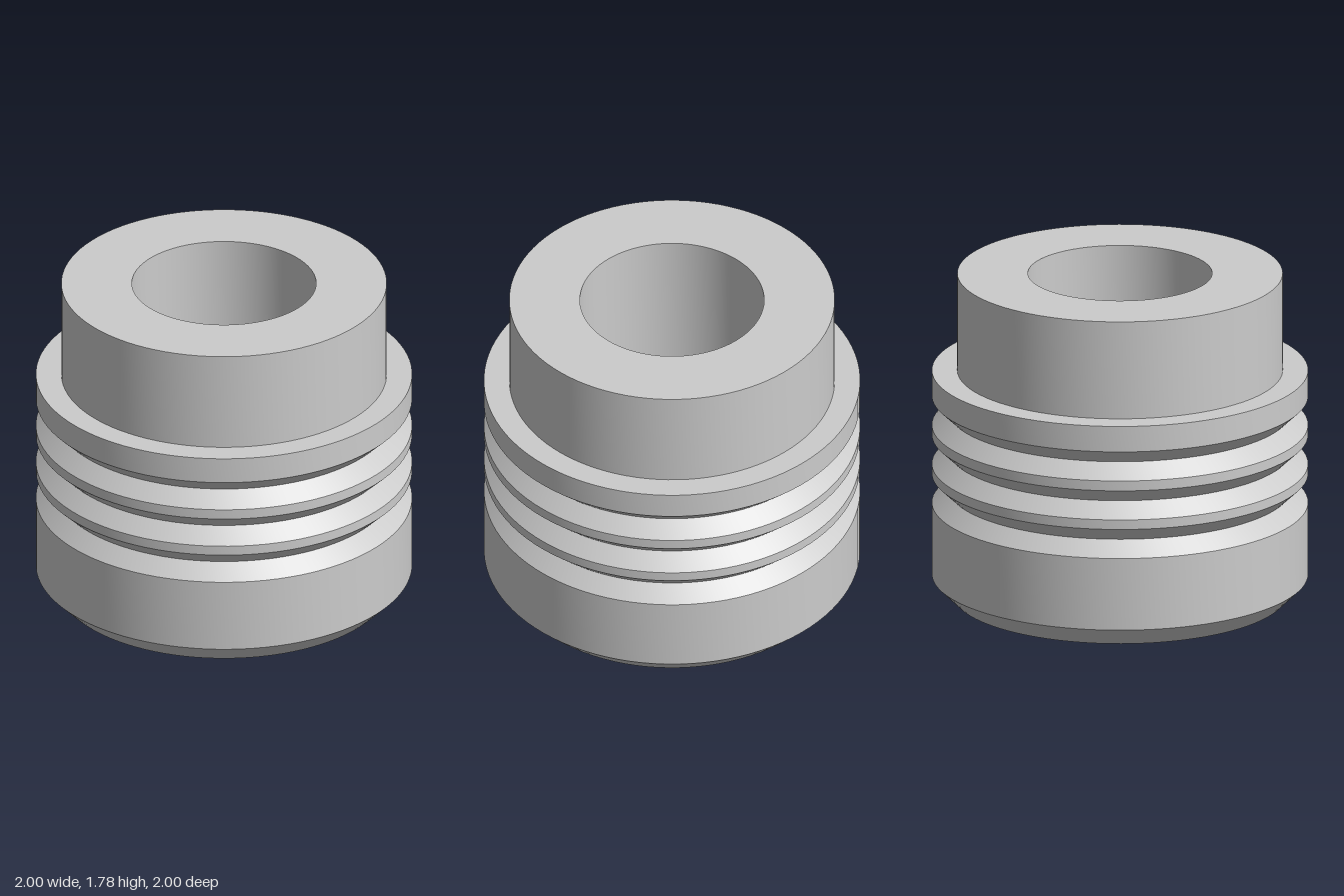
import * as THREE from 'three';
import { toCreasedNormals } from 'three/addons/utils/BufferGeometryUtils.js';

const material = new THREE.MeshStandardMaterial({ color: 0xcccccc });

// Revolve [radius, height] pairs, keeping the machined edges sharp
function turned(name, profile) {
  const points = profile.map(([r, y]) => new THREE.Vector2(r, y));
  const geometry = toCreasedNormals(new THREE.LatheGeometry(points, 96), 0.5);
  const mesh = new THREE.Mesh(geometry, material);
  mesh.name = name;
  return mesh;
}

export function createModel() {
  const group = new THREE.Group();
  group.name = 'groovedPlug';

  const bodyR = 1, neckR = 0.865, boreR = 0.49, pilotR = 0.325;
  const shoulderY = 1.245, topY = 1.785, stepY = 0.9, floorY = 0.35;

  // Body: chamfered base, three V grooves, flat shoulder
  const body = [[0, 0], [0.89, 0], [bodyR, 0.11]];
  for (const y of [0.59, 0.805, 1.022]) {
    body.push([bodyR, y - 0.081], [0.915, y], [bodyR, y + 0.081]);
  }
  body.push([bodyR, shoulderY], [neckR, shoulderY]);
  group.add(turned('groovedBody', body));

  // Neck: plain collar with a flat rim around the bore
  group.add(turned('neck', [[neckR, shoulderY], [neckR, topY], [boreR, topY]]));

  // Blind bore: stepped down to a narrower hole with a flat floor
  group.add(turned('steppedBore', [
    [boreR, topY], [boreR, stepY], [pilotR, stepY], [pilotR, floorY], [0, floorY],
  ]));

  return group;
}
